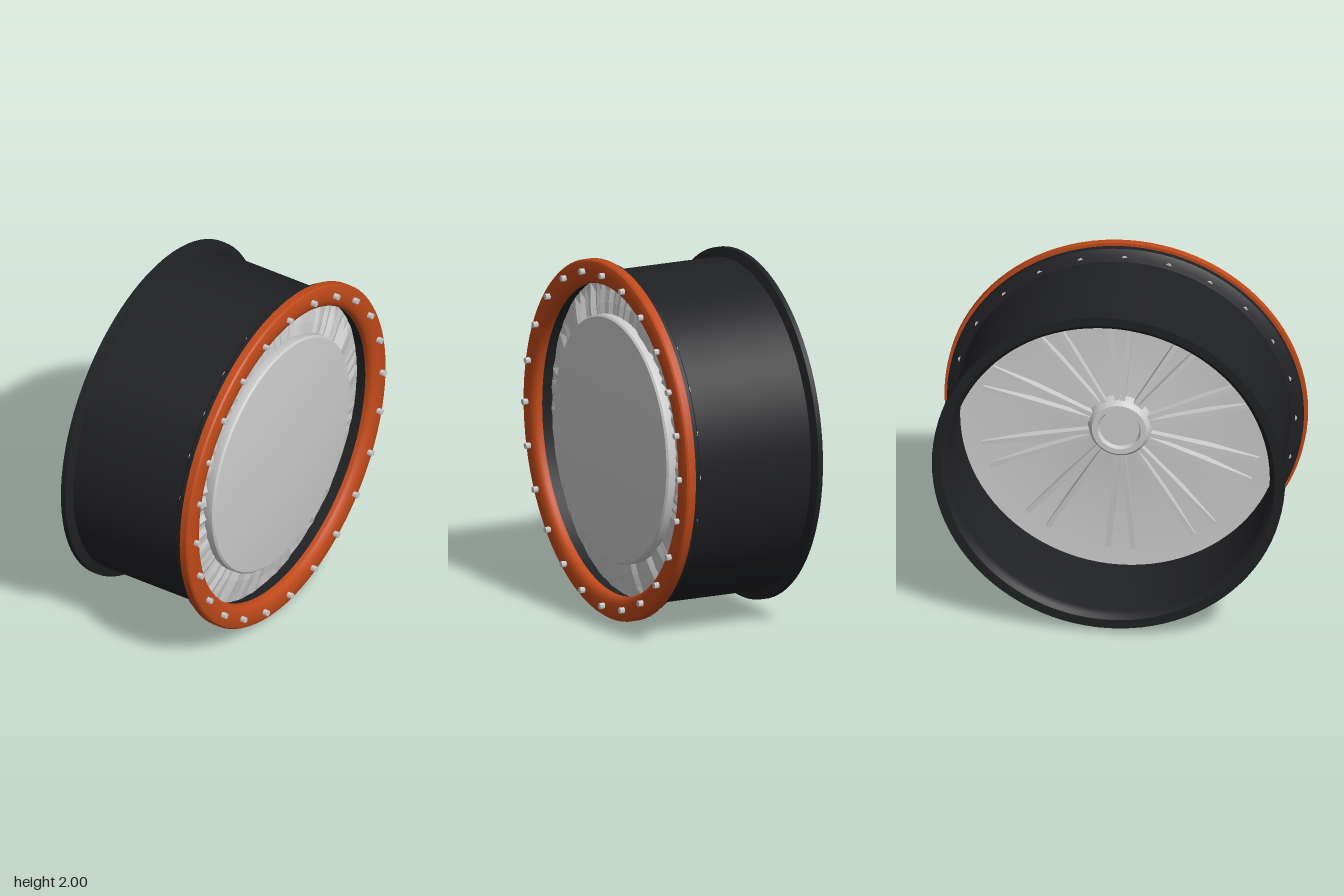
import * as THREE from 'three';
import { toCreasedNormals } from 'three/addons/utils/BufferGeometryUtils.js';

const black = new THREE.MeshStandardMaterial({ color: 0x202124 });
const orange = new THREE.MeshStandardMaterial({ color: 0xc04a1a });
const grey = new THREE.MeshStandardMaterial({ color: 0xcccccc });
const facetedGrey = new THREE.MeshStandardMaterial({ color: 0xcccccc, flatShading: true });

// Surface of revolution from [radius, height along the axle] pairs
function lathe(name, points, material, segments = 96) {
  const profile = points.map(([r, h]) => new THREE.Vector2(r, h));
  const geometry = toCreasedNormals(new THREE.LatheGeometry(profile, segments), 0.55);
  const mesh = new THREE.Mesh(geometry, material);
  mesh.name = name;
  return mesh;
}

// Crumpled radial band around the cover: ridges of uneven height
function crumpledBand() {
  const segments = 144;
  const rows = [[0.885, 0.285], [0.82, 0.295], [0.75, 0.31], [0.66, 0.32]];
  const geometry = new THREE.LatheGeometry(rows.map(([r, h]) => new THREE.Vector2(r, h)), segments);
  const position = geometry.attributes.position;
  let seed = 7;
  const random = () => (seed = (seed * 16807) % 2147483647) / 2147483647;
  const ridges = Array.from({ length: segments }, () => random() - 0.5);
  for (let i = 0; i <= segments; i++) {
    for (let j = 0; j < rows.length; j++) {
      const k = i * rows.length + j;
      position.setY(k, position.getY(k) + ridges[i % segments] * 0.022 * (j === 0 ? 0.3 : 1));
    }
  }
  const mesh = new THREE.Mesh(geometry, facetedGrey);
  mesh.name = 'crumpledBand';
  return mesh;
}

export function createModel() {
  const model = new THREE.Group();
  model.name = 'wheelRim';

  // Everything is built around a vertical axle, then laid along x
  const wheel = new THREE.Group();
  wheel.name = 'wheel';
  wheel.rotation.z = -Math.PI / 2;
  wheel.position.y = 1;
  model.add(wheel);

  // Open barrel with a flange at each end
  wheel.add(lathe('barrel', [
    [0.9, -0.425], [0.92, -0.44], [0.972, -0.44], [0.972, -0.412], [0.955, -0.405], [0.92, -0.393],
    [0.92, 0.288], [0.94, 0.298], [0.975, 0.315], [0.982, 0.322], [0.982, 0.355],
    [0.885, 0.355], [0.885, -0.39], [0.9, -0.425],
  ], black));

  // Clamp ring with a rounded face
  wheel.add(lathe('clampRing', [
    [0.866, 0.353], [1, 0.353], [1, 0.393], [0.993, 0.403], [0.975, 0.41], [0.94, 0.413],
    [0.905, 0.41], [0.88, 0.4], [0.868, 0.385], [0.866, 0.375], [0.866, 0.353],
  ], orange));

  // Bolts passing through the ring and the flared flange
  const bolts = new THREE.Group();
  bolts.name = 'bolts';
  const boltGeometry = toCreasedNormals(new THREE.CylinderGeometry(0.017, 0.017, 0.142, 10), 0.7);
  for (let i = 0; i < 24; i++) {
    const angle = (i / 24) * Math.PI * 2;
    const bolt = new THREE.Mesh(boltGeometry, grey);
    bolt.name = 'bolt';
    bolt.position.set(Math.cos(angle) * 0.934, 0.369, Math.sin(angle) * 0.934);
    bolts.add(bolt);
  }
  wheel.add(bolts);

  // Domed cover with a stepped edge
  wheel.add(lathe('cover', [
    [0.68, 0.3], [0.69, 0.32], [0.69, 0.362], [0.68, 0.372], [0.6, 0.38],
    [0.45, 0.391], [0.3, 0.398], [0.15, 0.403], [0, 0.405],
  ], grey));
  wheel.add(crumpledBand());

  // Rear of the wheel centre, with its hub
  wheel.add(lathe('rearDish', [
    [0, 0.07], [0.11, 0.07], [0.12, 0.045], [0.15, 0.045], [0.165, 0.06], [0.18, 0.115],
    [0.5, 0.145], [0.885, 0.12],
  ], grey));

  // Paired spokes radiating from the hub
  const spokes = new THREE.Group();
  spokes.name = 'spokes';
  const spokeGeometry = new THREE.BoxGeometry(0.62, 0.05, 0.028);
  for (let i = 0; i < 10; i++) {
    for (const side of [-1, 1]) {
      const arm = new THREE.Group();
      arm.name = 'spoke';
      arm.rotation.y = (i / 10) * Math.PI * 2 + side * 0.09;
      const bar = new THREE.Mesh(spokeGeometry, grey);
      bar.name = 'spokeBar';
      bar.position.set(0.47, 0.12, 0);
      bar.rotation.z = 0.06;
      arm.add(bar);
      spokes.add(arm);
    }
  }
  wheel.add(spokes);
  return model;
}
